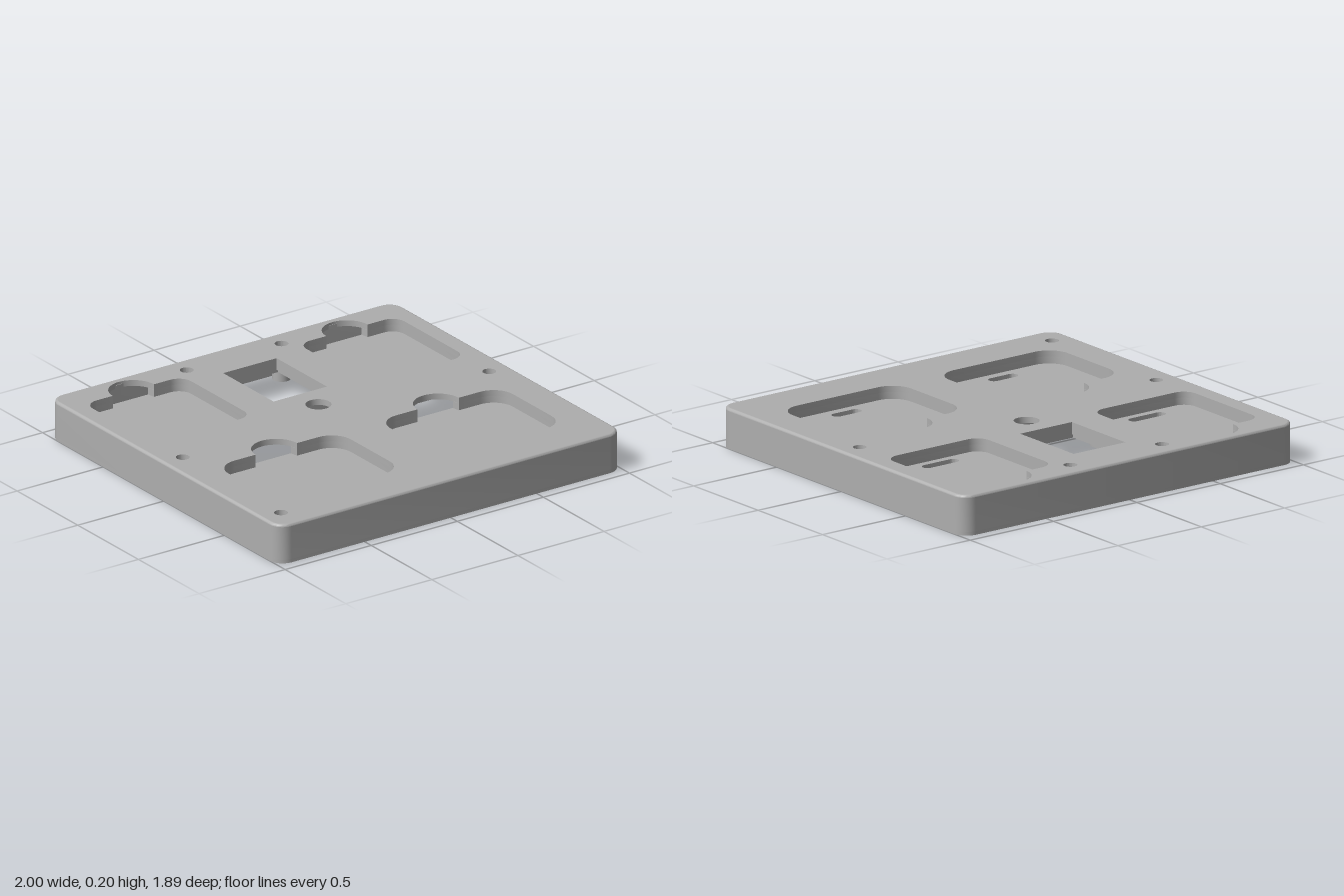
import * as THREE from 'three';
import { toCreasedNormals } from 'three/addons/utils/BufferGeometryUtils.js';

// Plan outlines use (x, -z) so that extrusion runs upward after rotation.
// Rounded rectangle walked counter-clockwise, starting and ending at a gap in its back edge.
function rectPoints(x0, x1, z0, z1, r, gap = 0) {
  const cx = (x0 + x1) / 2, back = -z0, front = -z1, pts = [];
  const corner = (x, y, a) => {
    for (let i = 0; i <= 10; i++) {
      const t = a + (i / 10) * Math.PI / 2;
      pts.push(new THREE.Vector2(x + r * Math.cos(t), y + r * Math.sin(t)));
    }
  };
  pts.push(new THREE.Vector2(cx - gap, back));
  corner(x0 + r, back - r, Math.PI / 2);
  corner(x0 + r, front + r, Math.PI);
  corner(x1 - r, front + r, Math.PI * 1.5);
  corner(x1 - r, back - r, 0);
  if (gap) pts.push(new THREE.Vector2(cx + gap, back));
  return pts;
}

function arcPoints(x, z, r, a0, a1, n) {
  return Array.from({ length: n + 1 }, (_, i) => {
    const t = a0 + (a1 - a0) * i / n;
    return new THREE.Vector2(x + r * Math.cos(t), -z + r * Math.sin(t));
  });
}

const circle = (x, z, r) => arcPoints(x, z, r, 0, Math.PI * 2, 32).slice(0, -1);

function box(x0, x1, z0, z1) {
  return [[x0, z1], [x1, z1], [x1, z0], [x0, z0]].map(([x, z]) => new THREE.Vector2(x, -z));
}

function slab(outline, holes, y0, y1) {
  const shape = new THREE.Shape(outline);
  holes.forEach(h => shape.holes.push(new THREE.Path(h)));
  const g = new THREE.ExtrudeGeometry(shape, { depth: y1 - y0, bevelEnabled: false });
  g.rotateX(-Math.PI / 2).translate(0, y0, 0);
  return toCreasedNormals(g, 0.6);
}

const W = 1, D = 0.947, R = 0.075, TOP = 0.2, CEILING = 0.17;
const FLOOR = 0.135, CUP_BOTTOM = 0.045, WALL = 0.04, THUMB = 0.12, EDGE = 0.013;
const bodyOutline = inset => rectPoints(-W + inset, W - inset, -D + inset, D - inset, R - inset);

// Rounded top edge lofted between inset outlines
function edgeGeometry() {
  const pos = [], steps = 4;
  const ring = i => {
    const t = (i / steps) * Math.PI / 2;
    const y = TOP - EDGE + EDGE * Math.sin(t);
    return bodyOutline(EDGE * (1 - Math.cos(t))).map(p => [p.x, y, -p.y]);
  };
  for (let s = 0; s < steps; s++) {
    const lo = ring(s), hi = ring(s + 1);
    for (let i = 0; i < lo.length; i++) {
      const j = (i + 1) % lo.length;
      pos.push(...lo[i], ...lo[j], ...hi[j], ...lo[i], ...hi[j], ...hi[i]);
    }
  }
  const g = new THREE.BufferGeometry();
  g.setAttribute('position', new THREE.Float32BufferAttribute(pos, 3));
  return toCreasedNormals(g, 0.6);
}

export function createModel() {
  const model = new THREE.Group();
  model.name = 'trayCover';
  const grey = new THREE.MeshStandardMaterial({ color: 0xaeaeae });
  grey.name = 'grey plastic';
  const add = (name, geometry, parent = model) => {
    const mesh = new THREE.Mesh(geometry, grey);
    mesh.name = name;
    parent.add(mesh);
  };

  const pockets = [];
  for (const s of [-1, 1]) {
    pockets.push({ cx: 0.62 * s, half: 0.285, z0: -0.79, z1: -0.215, r: 0.07, slotZ: -0.278, slot: 0.105, hx: 0.19, hz: 0.2 });
    pockets.push({ cx: 0.47 * s, half: 0.355, z0: 0.175, z1: 0.715, r: 0.11, slotZ: 0.645, slot: 0.083, hx: 0.28, hz: 0.2 });
  }
  const screws = [[-0.275, -0.84], [0.275, -0.84], [-0.89, 0], [0.89, 0], [-0.89, 0.81]];
  const windowHole = box(-0.155, 0.155, -0.71, -0.295);

  // Top plate with all of its openings
  const plateHoles = [windowHole, circle(0, -0.145, 0.062)];
  screws.forEach(([x, z]) => plateHoles.push(circle(x, z, 0.033)));
  pockets.forEach(p => plateHoles.push([
    ...rectPoints(p.cx - p.half, p.cx + p.half, p.z0, p.z1, p.r, THUMB),
    ...arcPoints(p.cx, p.z0, THUMB, 0, Math.PI, 24).slice(1, -1),
  ]));
  add('topPlate', slab(bodyOutline(EDGE), plateHoles, CEILING, TOP));
  add('roundedTopEdge', edgeGeometry());

  // Side walls with a thinner lip around the open underside
  add('sideWalls', slab(bodyOutline(0), [bodyOutline(WALL)], 0.018, TOP - EDGE));
  add('bottomLip', slab(bodyOutline(0), [bodyOutline(0.02)], 0, 0.018));

  // Recessed cups under the pockets
  for (const p of pockets) {
    const cup = new THREE.Group();
    cup.name = 'pocketCup';
    model.add(cup);
    const outer = gap => rectPoints(p.cx - p.half - WALL, p.cx + p.half + WALL,
      p.z0 - WALL, p.z1 + WALL, p.r + WALL, gap);
    const inner = rectPoints(p.cx - p.half, p.cx + p.half, p.z0, p.z1, p.r, THUMB);
    const gap = Math.sqrt(THUMB * THUMB - WALL * WALL);
    add('pocketWall', slab([...outer(gap), ...inner.reverse()], [], FLOOR, CEILING), cup);

    const slot = rectPoints(p.cx - p.slot, p.cx + p.slot, p.slotZ - 0.027, p.slotZ + 0.027, 0.0265);
    const cz = (p.z0 + p.z1) / 2, sockets = [];
    for (const i of [-1, 1]) for (const j of [-1, 1]) {
      sockets.push(circle(p.cx + i * p.hx, cz + j * p.hz, 0.026));
    }
    add('pocketFloor', slab(outer(0), [slot], 0.085, FLOOR), cup);
    add('socketLayer', slab(outer(0), [slot, ...sockets], CUP_BOTTOM, 0.085), cup);
  }

  // Hollow screw posts with counterbored tops
  for (const [x, z] of screws) {
    add('screwPostTop', slab(circle(x, z, 0.044), [circle(x, z, 0.033)], 0.12, CEILING));
    add('screwPost', slab(circle(x, z, 0.044), [circle(x, z, 0.017)], 0.02, 0.12));
  }

  // Stepped frame below the window
  const frame = box(-0.21, 0.21, -0.765, -0.24);
  add('windowFrame', slab(frame, [windowHole], 0.14, CEILING));
  add('windowFrameStep', slab(frame, [box(-0.185, 0.185, -0.74, -0.265)], 0.11, 0.14));

  return model;
}
